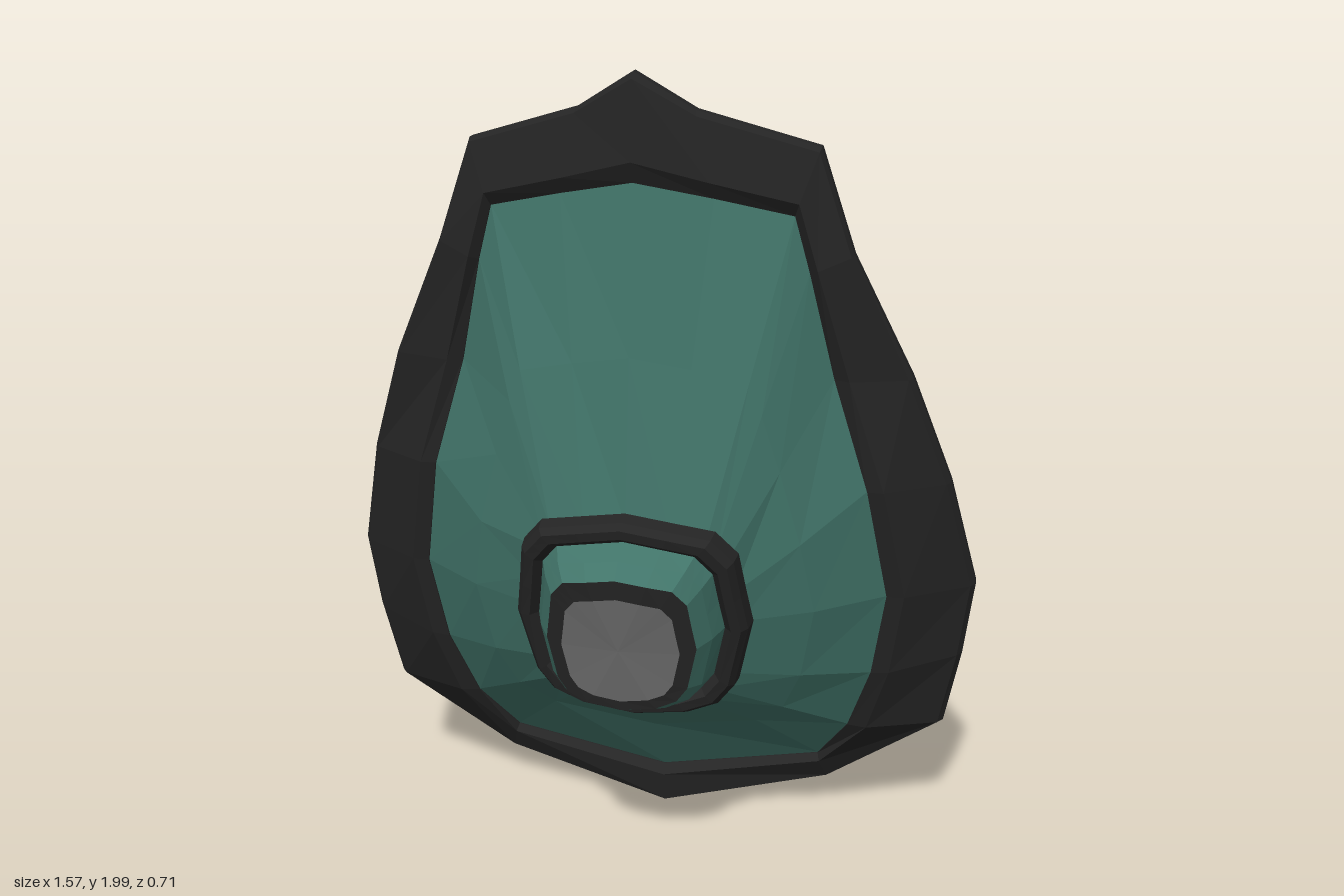
import * as THREE from 'three';

const make = (hex, name) => {
  const m = new THREE.MeshStandardMaterial({ color: hex, flatShading: true, side: THREE.DoubleSide });
  m.name = name;
  return m;
};

// Half outlines from the top centre, down the left side, to the bottom centre.
const OUTER = [[0, 2, 0.13], [0.13, 1.92, 0.1], [0.39, 1.84, 0.03], [0.47, 1.61, 0.03], [0.61, 1.32, -0.04],
  [0.71, 1.05, -0.12], [0.785, 0.76, -0.207], [0.765, 0.56, -0.23], [0.73, 0.345, -0.268], [0.435, 0.115, -0.33], [0, 0.01, -0.29]];
const INNER = [[0, 1.77, 0.15], [0.17, 1.735, 0.11], [0.34, 1.695, 0.065], [0.375, 1.57, 0.055], [0.435, 1.32, 0.015],
  [0.52, 1.05, 0], [0.575, 0.76, -0.07], [0.545, 0.53, -0.115], [0.49, 0.345, -0.18], [0.41, 0.2, -0.275], [0, 0.13, -0.26]];
const BOSS = [[0, 1.05], [0.11, 1.03], [0.2, 1.01], [0.225, 0.98], [0.25, 0.95],
  [0.265, 0.85], [0.28, 0.76], [0.245, 0.59], [0.205, 0.535], [0.13, 0.505], [0, 0.49]];

const mirror = (half) => [
  ...half.map((p) => new THREE.Vector3(...p)),
  ...half.slice(1, -1).reverse().map(([x, y, z]) => new THREE.Vector3(-x, y, z)),
];

// Boss outline scaled about its centre, with depth given by a rule.
const bossLoop = (scale, depth, cy = 0.77) => mirror(BOSS.map(([x, y]) => {
  const px = x * scale, py = cy + (y - 0.77) * scale;
  return [px, py, depth(px, py)];
}));
const ringDepth = (dz) => (x, y) => 0.2 + (y - 0.77) * 0.26 - 0.5 * x * x + dz;
const domeDepth = (dz) => (x, y) => 0.33 + (y - 0.77) * 0.16 - 1.2 * x * x + dz;

const blend = (a, b, t, dz = () => 0) => a.map((p, i) => {
  const q = p.clone().lerp(b[i], t);
  q.z += dz(i);
  return q;
});

// Joins successive closed loops with faces; wrap closes the section.
function loft(loops, wrap = false) {
  const pos = [];
  const tri = (...v) => v.forEach((p) => pos.push(p.x, p.y, p.z));
  const rows = wrap ? [...loops, loops[0]] : loops;
  for (let k = 0; k < rows.length - 1; k++) {
    const n = rows[k].length;
    for (let i = 0; i < n; i++) {
      const j = (i + 1) % n;
      const [a, b, c, d] = [rows[k][i], rows[k][j], rows[k + 1][j], rows[k + 1][i]];
      tri(a, c, b);
      tri(a, d, c);
    }
  }
  const g = new THREE.BufferGeometry();
  g.setAttribute('position', new THREE.Float32BufferAttribute(pos, 3));
  g.computeVertexNormals();
  return g;
}

export function createModel() {
  const green = make(0x42756a, 'green plate');
  const dark = make(0x252525, 'dark trim');
  const grey = make(0x6b6b6b, 'grey metal');

  const group = new THREE.Group();
  group.name = 'shield';
  const add = (name, geometry, material) => {
    const mesh = new THREE.Mesh(geometry, material);
    mesh.name = name;
    group.add(mesh);
  };

  // Thick rim, bevelled toward the panel on both faces
  const outer = mirror(OUTER), inner = mirror(INNER);
  const rimSection = [[0, -0.015], [0, 0.015], [0.06, 0.03], [0.8, 0.03], [1, 0.004], [1, -0.004], [0.8, -0.03], [0.06, -0.03]];
  add('rim', loft(rimSection.map(([t, dz]) => blend(outer, inner, t, () => dz)), true), dark);

  // Bulging panel between the rim and the boss ring, hollow behind
  const panelEnd = bossLoop(0.9, ringDepth(-0.025));
  const bulge = [0, 0, 0.01, 0.015, 0.02, 0.02, 0.02, 0.015, 0, -0.03, -0.045];
  const panelMiddle = blend(inner, panelEnd, 0.5, (i) => bulge[i <= 10 ? i : 20 - i]);
  add('panel', loft([inner, panelMiddle, panelEnd]), green);

  // Tilted ring around the boss
  const ringSection = [[1, -0.03], [0.98, 0.015], [0.93, 0.035], [0.85, 0.035], [0.79, 0.01], [0.79, -0.03], [0.86, -0.04], [0.94, -0.04]];
  add('bossRing', loft(ringSection.map(([s, dz]) => bossLoop(s, ringDepth(dz))), true), dark);

  // Open-backed boss: sloping wall, dark border and grey face
  const wallTop = bossLoop(0.62, domeDepth(0), 0.76);
  const faceEdge = bossLoop(0.49, domeDepth(0), 0.748);
  const faceCentre = faceEdge.map(() => new THREE.Vector3(0, 0.748, domeDepth(0)(0, 0.748)));
  add('bossWall', loft([bossLoop(0.8, ringDepth(0)), bossLoop(0.72, domeDepth(-0.04), 0.765), wallTop]), green);
  add('bossBorder', loft([wallTop, faceEdge]), dark);
  add('bossFace', loft([faceEdge, faceCentre]), grey);

  return group;
}
